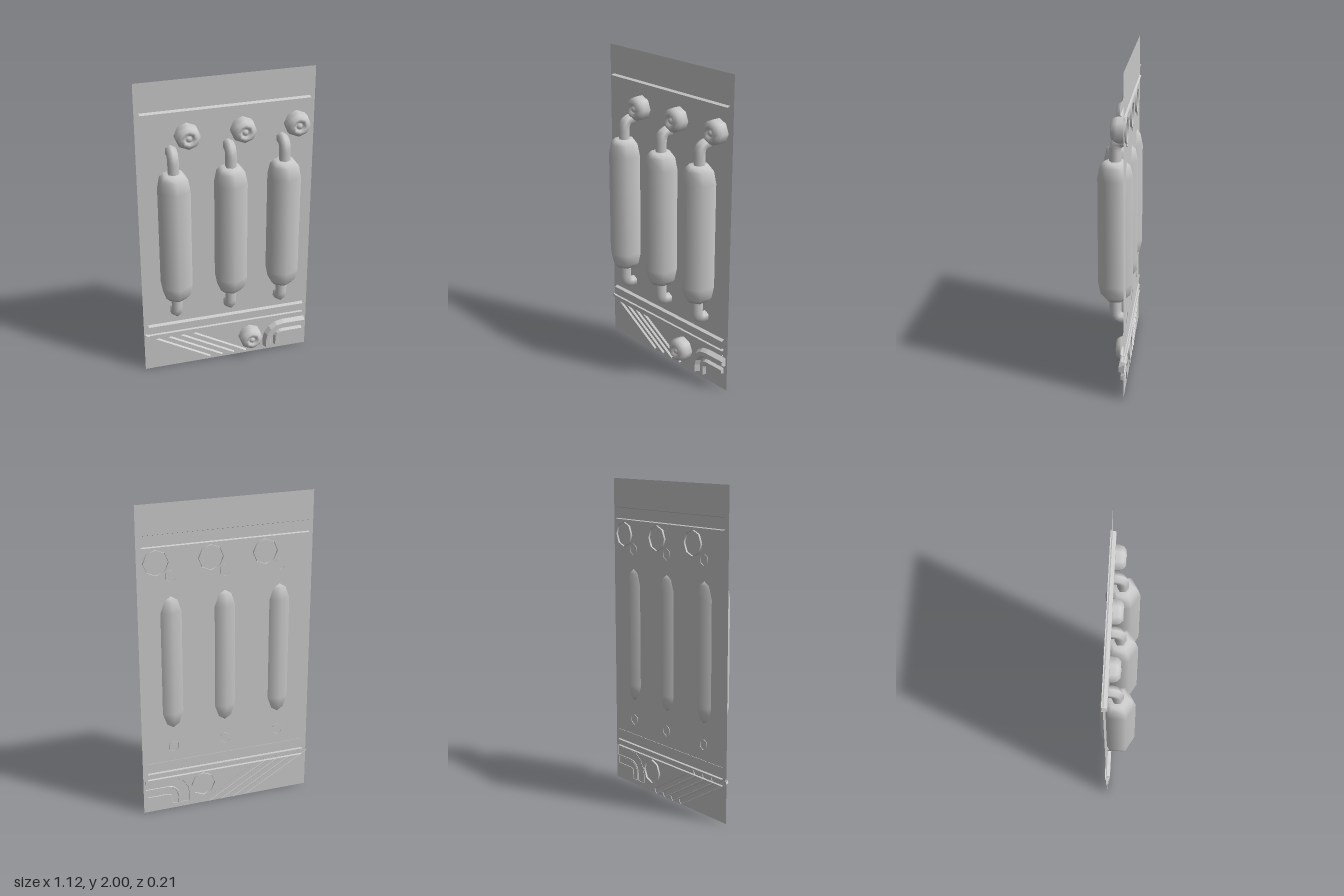
import * as THREE from 'three';

const material = new THREE.MeshStandardMaterial({ color: 0xcccccc, side: THREE.DoubleSide });
const flatMaterial = new THREE.MeshStandardMaterial({ color: 0xcccccc, side: THREE.DoubleSide, flatShading: true });

const PANEL_Z = -0.067;

function add(parent, name, geometry, mat = material) {
  const mesh = new THREE.Mesh(geometry, mat);
  mesh.name = name;
  parent.add(mesh);
  return mesh;
}

const lathe = (profile, sides) =>
  new THREE.LatheGeometry(profile.map(([r, y]) => new THREE.Vector2(r, y)), sides);

// Sweeps a profile of [sideways offset, z] along a path in the xy plane, with mitred corners
function moulding(path, profile, capped = false) {
  const direction = (a, b) => new THREE.Vector2(b[0] - a[0], b[1] - a[1]).normalize();
  const rings = path.map((p, i) => {
    const before = direction(path[Math.max(i - 1, 0)], path[Math.max(i, 1)]);
    const last = path.length - 1;
    const after = direction(path[Math.min(i, last - 1)], path[Math.min(i + 1, last)]);
    const mid = before.clone().add(after).normalize();
    const mitre = 1 / mid.dot(after);
    return profile.map(([o, z]) => [p[0] - mid.y * o * mitre, p[1] + mid.x * o * mitre, z]);
  });
  const positions = [];
  const quad = (a, b, c, d) => positions.push(...a, ...b, ...c, ...a, ...c, ...d);
  for (let i = 0; i < rings.length - 1; i++) {
    for (let j = 0; j < profile.length - 1; j++) {
      quad(rings[i][j], rings[i + 1][j], rings[i + 1][j + 1], rings[i][j + 1]);
    }
  }
  if (capped) {
    const [a, b, c, d] = rings[0];
    const [e, f, g, h] = rings[rings.length - 1];
    quad(a, b, c, d);
    quad(h, g, f, e);
  }
  const geometry = new THREE.BufferGeometry();
  geometry.setAttribute('position', new THREE.Float32BufferAttribute(positions, 3));
  geometry.computeVertexNormals();
  return geometry;
}

// Bevelled ridge: half width at the back and at the front, back z and front z
const ridge = (back, front, zBack, zFront) =>
  [[-back, zBack], [-front, zFront], [front, zFront], [back, zBack]];

// Vertical leg, quarter bend round a centre, then a run to the right
function bendPath(cx, cy, radius, yStart, xEnd) {
  const path = [[cx - radius, yStart]];
  for (let i = 0; i <= 4; i++) {
    const a = Math.PI - (i / 4) * Math.PI / 2;
    path.push([cx + radius * Math.cos(a), cy + radius * Math.sin(a)]);
  }
  path.push([xEnd, cy + radius]);
  return path;
}

// Six-sided pipe leaving the tank and bending back into the panel
function pipeGeometry(yStart, yEnd) {
  const s = Math.sign(yEnd - yStart);
  const v = (y, z) => new THREE.Vector3(0, y, z);
  const path = new THREE.CurvePath();
  path.add(new THREE.LineCurve3(v(yStart, 0), v(yEnd - s * 0.055, 0)));
  path.add(new THREE.QuadraticBezierCurve3(v(yEnd - s * 0.055, 0), v(yEnd, 0), v(yEnd, -0.05)));
  path.add(new THREE.LineCurve3(v(yEnd, -0.05), v(yEnd, -0.071)));
  return new THREE.TubeGeometry(path, 10, 0.036, 6, false);
}

export function createModel() {
  const model = new THREE.Group();
  model.name = 'wallPanel';

  // Backing sheet
  const panel = add(model, 'panel', new THREE.PlaneGeometry(1.11, 2));
  panel.position.set(0, 1, PANEL_Z);

  // Tanks with a pipe at each end
  const tankGeometry = lathe([
    [0, 0.57], [0.062, 0.57], [0.09, 0.6], [0.105, 0.675],
    [0.105, 1.335], [0.09, 1.41], [0.062, 1.44], [0, 1.44],
  ], 6);
  const upperPipe = pipeGeometry(1.42, 1.56);
  const lowerPipe = pipeGeometry(0.59, 0.444);
  for (const x of [-0.345, 0.01, 0.35]) {
    const unit = new THREE.Group();
    unit.name = 'tankUnit';
    unit.position.x = x;
    add(unit, 'tank', tankGeometry);
    add(unit, 'upperPipe', upperPipe);
    add(unit, 'lowerPipe', lowerPipe);
    model.add(unit);
  }

  // Eight-sided knobs with a recessed centre
  const knobGeometry = lathe([
    [0.078, -0.079], [0.078, -0.025], [0.07, -0.002], [0.052, 0.014], [0.034, 0.016],
    [0.027, 0.002], [0.016, 0.002], [0.013, 0.012], [0, 0.012],
  ], 8).rotateX(Math.PI / 2);
  for (const [x, y] of [[-0.245, 1.65], [0.1, 1.65], [0.44, 1.65], [0.16, 0.14]]) {
    add(model, 'knob', knobGeometry).position.set(x, y, 0);
  }

  // Horizontal rails, open at the ends
  const railProfile = ridge(0.038, 0.026, -0.079, -0.046);
  for (const y of [1.782, 0.31]) {
    add(model, 'rail', moulding([[-0.525, y], [0.525, y]], railProfile), flatMaterial);
  }
  add(model, 'narrowRail',
    moulding([[-0.525, 0.253], [0.525, 0.253]], ridge(0.023, 0.015, -0.079, -0.05)), flatMaterial);

  // Slanted strips below the rails
  const stripProfile = ridge(0.017, 0.009, -0.071, -0.054);
  for (let i = 0; i < 4; i++) {
    const x = -0.12 + i * 0.083;
    const top = i === 0 ? 0.265 : 0.24;
    const path = [[x - (top - 0.015) * Math.sqrt(3), top], [x, 0.015]];
    add(model, 'slantedStrip', moulding(path, stripProfile, true), flatMaterial);
  }

  // Pair of curved ducts in the lower corner
  add(model, 'outerDuct',
    moulding(bendPath(0.39, 0.085, 0.107, 0.035, 0.54), ridge(0.032, 0.014, -0.071, -0.036), true), flatMaterial);
  add(model, 'innerDuct',
    moulding(bendPath(0.39, 0.085, 0.042, 0.035, 0.525), ridge(0.022, 0.01, -0.071, -0.046), true), flatMaterial);

  return model;
}
